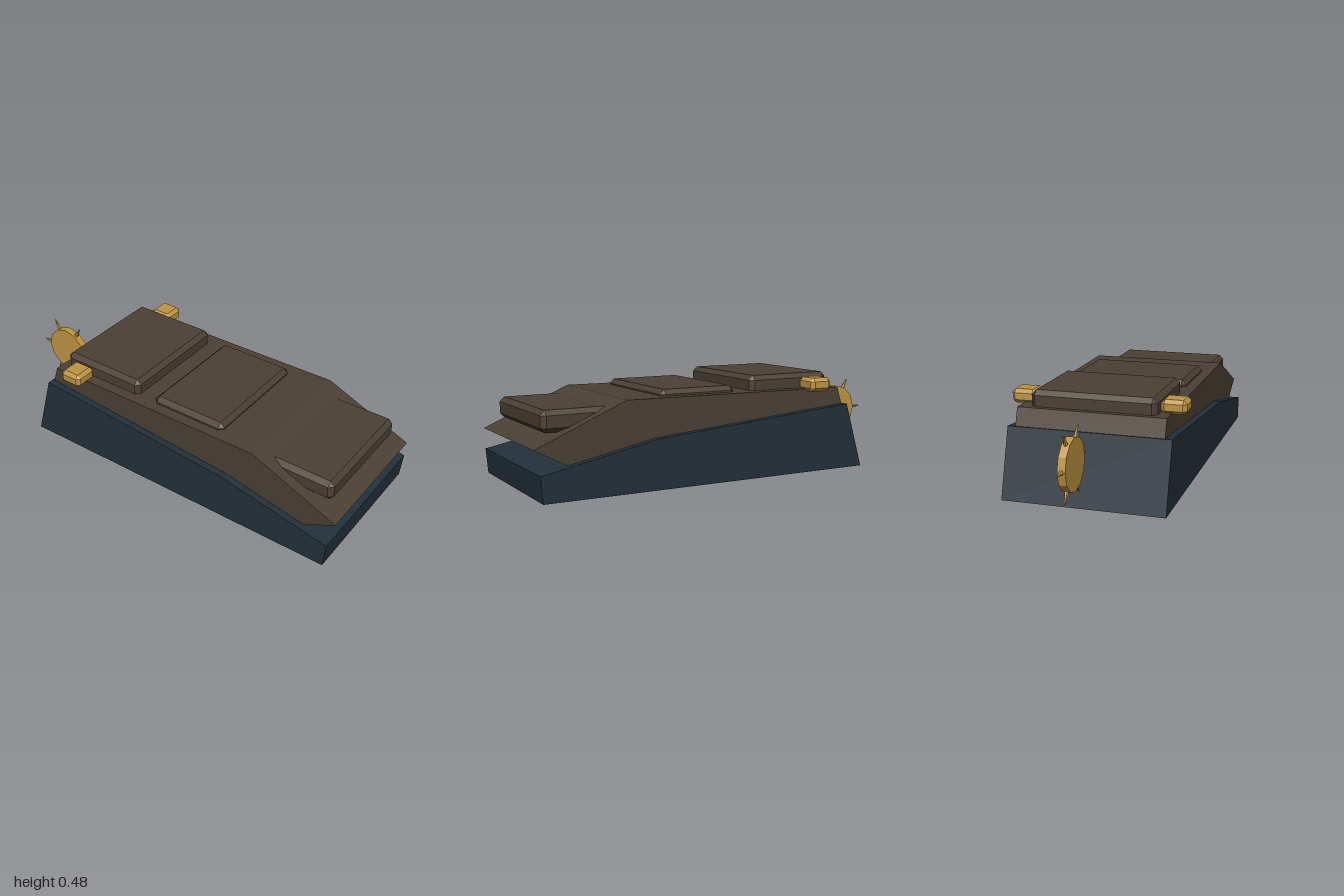
import * as THREE from 'three';
import { ConvexGeometry } from 'three/addons/geometries/ConvexGeometry.js';

function material(name, color) {
  const m = new THREE.MeshStandardMaterial({ color, flatShading: true });
  m.name = name;
  return m;
}

// side profile in x/y, extruded evenly about z = 0
function slab(points, halfWidth) {
  const shape = new THREE.Shape(points.map(([x, y]) => new THREE.Vector2(x, y)));
  const g = new THREE.ExtrudeGeometry(shape, { depth: halfWidth * 2, bevelEnabled: false });
  return g.translate(0, 0, -halfWidth);
}

// box with every edge cut at 45 degrees
function chamferBox(w, h, d, c) {
  const pts = [];
  for (const sx of [-1, 1]) for (const sy of [-1, 1]) for (const sz of [-1, 1]) {
    const x = w / 2, y = h / 2, z = d / 2;
    pts.push(
      new THREE.Vector3(sx * x, sy * (y - c), sz * (z - c)),
      new THREE.Vector3(sx * (x - c), sy * y, sz * (z - c)),
      new THREE.Vector3(sx * (x - c), sy * (y - c), sz * z));
  }
  return new ConvexGeometry(pts);
}

export function createModel() {
  const model = new THREE.Group();
  const navy = material('navy', 0x23303a);
  const brown = material('brown', 0x4b4034);
  const gold = material('gold', 0xbe9443);

  function add(name, geometry, mat, x = 0, y = 0, z = 0, parent = model) {
    const mesh = new THREE.Mesh(geometry, mat);
    mesh.name = name;
    mesh.position.set(x, y, z);
    parent.add(mesh);
    return mesh;
  }

  // wedge-shaped base and upper shell
  add('base', slab([[-0.71, 0], [0.975, 0], [0.985, 0.12], [0.43, 0.232], [-0.615, 0.32]], 0.38), navy);
  add('shell', slab([[-0.61, 0.31], [0.43, 0.22], [0.85, 0.146], [1, 0.226],
    [0.57, 0.41], [-0.58, 0.402]], 0.346), brown);

  // raised plates: left x, right x, bottom, top
  const plates = [
    ['rearPlate', -0.555, -0.107, 0.37, 0.476],
    ['middlePlate', -0.018, 0.372, 0.34, 0.437],
    ['nosePlate', 0.56, 0.942, 0.282, 0.381],
  ];
  for (const [name, x0, x1, y0, y1] of plates) {
    add(name, chamferBox(x1 - x0, y1 - y0, 0.586, 0.022), brown, (x0 + x1) / 2, (y0 + y1) / 2);
  }

  // side latches
  for (const s of [1, -1]) {
    add(s > 0 ? 'frontLatch' : 'backLatch', chamferBox(0.115, 0.066, 0.118, 0.017), gold, -0.437, 0.427, s * 0.352);
  }

  // spiked wheel at the rear
  const wheel = new THREE.Group();
  wheel.name = 'spurWheel';
  wheel.position.set(-0.828, 0.243, 0);
  model.add(wheel);
  add('disc', new THREE.CylinderGeometry(0.12, 0.12, 0.036, 12).rotateX(Math.PI / 2), gold, 0, 0, 0, wheel);
  for (let i = 0; i < 6; i++) {
    const a = i * Math.PI / 3;
    const spike = add('spike', new THREE.CylinderGeometry(0.003, 0.013, 0.072, 6), gold,
      Math.cos(a) * 0.136, Math.sin(a) * 0.136, 0, wheel);
    spike.rotation.z = a - Math.PI / 2;
  }
  return model;
}
